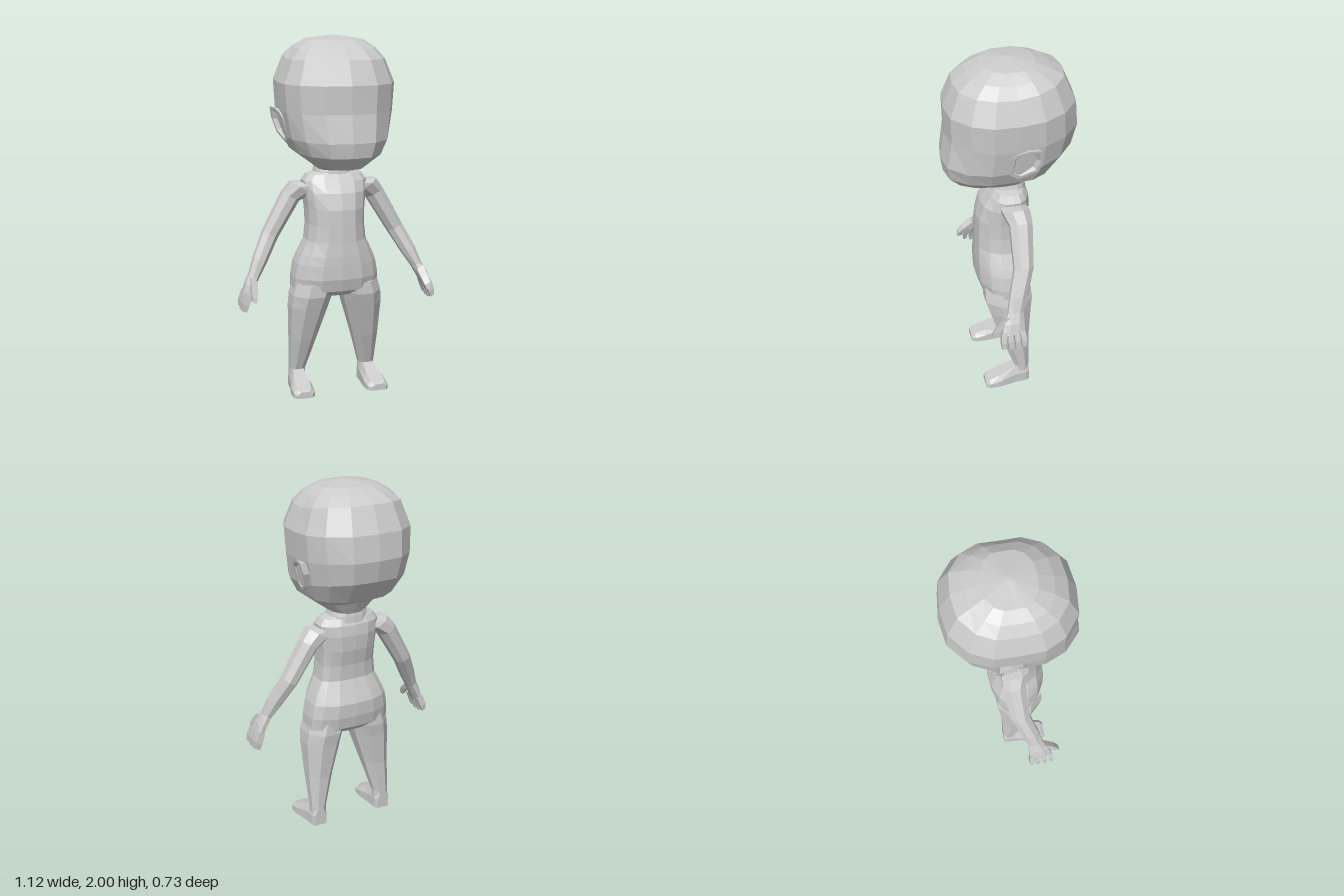
import * as THREE from 'three';

const material = new THREE.MeshStandardMaterial({ color: 0xcccccc, flatShading: true });

// Skin closed rings of points, fan-cap both ends, turn faces outward
function loft(rings) {
  const n = rings[0].length, pos = [], idx = [];
  rings.forEach(r => r.forEach(p => pos.push(...p)));
  for (let j = 0; j < rings.length - 1; j++) {
    for (let i = 0; i < n; i++) {
      const a = j * n + i, b = j * n + (i + 1) % n;
      idx.push(a, b, a + n, b, b + n, a + n);
    }
  }
  [0, rings.length - 1].forEach(j => {
    const c = pos.length / 3;
    for (let k = 0; k < 3; k++) pos.push(rings[j].reduce((s, p) => s + p[k], 0) / n);
    for (let i = 0; i < n; i++) {
      const a = j * n + i, b = j * n + (i + 1) % n;
      if (j) idx.push(a, b, c); else idx.push(b, a, c);
    }
  });
  const at = i => new THREE.Vector3().fromArray(pos, i * 3);
  let volume = 0;
  for (let i = 0; i < idx.length; i += 3) volume += at(idx[i]).dot(at(idx[i + 1]).cross(at(idx[i + 2])));
  if (volume < 0) idx.reverse();
  const g = new THREE.BufferGeometry();
  g.setAttribute('position', new THREE.Float32BufferAttribute(pos, 3));
  g.setIndex(idx);
  const flat = g.toNonIndexed();
  flat.computeVertexNormals();
  return flat;
}

// Rounded-square outline in unit x,z, mirrored into a full ring of 16
const quarter = [[0, 1], [0.47, 0.95], [0.82, 0.7], [0.99, 0.38]];
const half = [...quarter, [1, 0], ...quarter.slice(1).reverse().map(([x, z]) => [x, -z])];
const outline = [...half, ...half.map(([x, z]) => [-x, -z])];

// Level ring with separate front and back depth, and heights at front, middle, back
const bodyRing = (yF, yM, yB, hw, zf, zb) => outline.map(([x, z]) => [
  x * hw,
  THREE.MathUtils.lerp(yM, z > 0 ? yF : yB, Math.abs(z)),
  z > 0 ? z * zf : -z * zb,
]);

// Eight-sided level ring between x and z limits
const limbRing = ([y, x0, x1, zf, zb]) => [...Array(8)].map((_, i) => {
  const a = (i + 0.5) * Math.PI / 4, k = 1 / Math.cos(Math.PI / 8);
  return [(x0 + x1) / 2 + Math.sin(a) * k * (x1 - x0) / 2, y, (zf + zb) / 2 + Math.cos(a) * k * (zf - zb) / 2];
});

// Ring across the sloping arm: centre, in-plane radius, depth radius
const armRing = (sides) => ([x, y, z, rn, rz]) => [...Array(sides)].map((_, i) => {
  const a = (i + 0.5) * 2 * Math.PI / sides, k = 1 / Math.cos(Math.PI / sides);
  const s = Math.cos(a) * k * rn;
  return [x + 0.87 * s, y + 0.49 * s, z + Math.sin(a) * k * rz];
});

export function createModel() {
  const model = new THREE.Group();
  const add = (name, rings) => {
    const mesh = new THREE.Mesh(loft(rings), material);
    mesh.name = name;
    model.add(mesh);
  };
  const addPair = (name, rings) => {
    add('left' + name, rings);
    add('right' + name, rings.map(r => r.map(([x, y, z]) => [-x, y, z])));
  };

  // Head
  add('head', [
    [1.27, 1.27, 1.27, 0.09, 0.09, -0.09],
    [1.30, 1.32, 1.345, 0.15, 0.285, -0.13],
    [1.37, 1.38, 1.39, 0.235, 0.352, -0.23],
    [1.45, 1.46, 1.52, 0.275, 0.365, -0.335],
    [1.60, 1.60, 1.64, 0.30, 0.34, -0.365],
    [1.75, 1.75, 1.78, 0.31, 0.343, -0.352],
    [1.88, 1.875, 1.92, 0.262, 0.29, -0.29],
    [1.935, 1.935, 1.955, 0.215, 0.22, -0.22],
    [1.978, 1.977, 1.985, 0.155, 0.14, -0.14],
    [2, 2, 2, 0.01, 0.01, -0.01],
  ].map(r => bodyRing(...r)));

  // Ears: rim flares outward at the top and rear, with a hollow centre
  const earOutline = [[0.04, 1.56], [0.015, 1.59], [-0.05, 1.61], [-0.11, 1.61], [-0.125, 1.55], [-0.1, 1.47], [0, 1.42], [0.045, 1.45]];
  const earRing = (size, inset) => earOutline.map(([z, y]) => {
    const ez = -0.04 + (z + 0.04) * size, ey = 1.53 + (y - 1.53) * size;
    return [0.27 + (ey - 1.42) * 0.25 - ez * 0.15 - inset, ey, ez];
  });
  addPair('Ear', [earRing(0.85, 0.07), earRing(1, 0), earRing(0.8, 0), earRing(0.6, 0.022)]);

  // Neck and torso
  add('neck', [[1.2, 0.12], [1.26, 0.112], [1.285, 0.105], [1.36, 0.12]]
    .map(([y, w]) => bodyRing(y, y, y, w, w * 0.78, -w * 0.85)));
  add('torso', [
    [0.565, 0.12, 0.12, -0.08],
    [0.60, 0.245, 0.168, -0.115],
    [0.67, 0.243, 0.188, -0.13],
    [0.75, 0.228, 0.19, -0.132],
    [0.80, 0.208, 0.19, -0.112],
    [0.88, 0.17, 0.186, -0.08],
    [0.97, 0.16, 0.184, -0.085],
    [1.06, 0.163, 0.18, -0.105],
    [1.15, 0.175, 0.155, -0.112],
    [1.21, 0.18, 0.115, -0.105],
    [1.245, 0.155, 0.09, -0.085],
    [1.262, 0.10, 0.08, -0.075],
  ].map(([y, ...r]) => bodyRing(y, y, y, ...r)));

  // Legs
  addPair('Leg', [
    [0.64, 0.01, 0.235, 0.16, -0.1],
    [0.57, 0.03, 0.255, 0.162, -0.105],
    [0.50, 0.05, 0.262, 0.14, -0.095],
    [0.30, 0.11, 0.258, 0.075, -0.08],
    [0.11, 0.163, 0.252, 0.005, -0.08],
    [0.03, 0.163, 0.252, 0.005, -0.08],
  ].map(limbRing));

  // Feet: wedge running from heel to toe
  addPair('Foot', [
    [-0.08, 0.175, 0.245, 0.11],
    [-0.06, 0.163, 0.255, 0.112],
    [0.005, 0.16, 0.26, 0.11],
    [0.10, 0.152, 0.278, 0.07],
    [0.16, 0.156, 0.278, 0.047],
    [0.182, 0.175, 0.262, 0.036],
  ].map(([z, x0, x1, h]) => [
    [x0, 0, z], [x1, 0, z], [x1, h * 0.55, z], [x1 - 0.02, h, z], [x0 + 0.02, h, z], [x0, h * 0.55, z],
  ]));

  // Arms down to the palm
  addPair('Arm', [
    [0.14, 1.175, 0, 0.06, 0.07],
    [0.185, 1.17, -0.005, 0.068, 0.075],
    [0.245, 1.12, -0.02, 0.052, 0.062],
    [0.365, 0.915, -0.008, 0.045, 0.053],
    [0.435, 0.785, 0.038, 0.04, 0.047],
    [0.475, 0.705, 0.062, 0.03, 0.043],
    [0.502, 0.655, 0.075, 0.029, 0.055],
    [0.525, 0.60, 0.085, 0.023, 0.064],
  ].map(armRing(8)));

  // Fingers and thumb
  [0.135, 0.102, 0.068, 0.036].forEach((z, i) => {
    const tip = z + (z - 0.085) * 0.15, y = [0.525, 0.515, 0.515, 0.525][i];
    addPair('Finger' + (i + 1), [
      [0.52, 0.615, z, 0.02, 0.015],
      [0.54, 0.56, tip, 0.018, 0.014],
      [0.548, y, tip, 0.012, 0.01],
    ].map(armRing(4)));
  });
  addPair('Thumb', [
    [0.485, 0.69, 0.09, 0.022, 0.025],
    [0.492, 0.645, 0.145, 0.02, 0.022],
    [0.50, 0.61, 0.175, 0.017, 0.018],
    [0.505, 0.585, 0.187, 0.011, 0.012],
  ].map(armRing(4)));

  return model;
}
